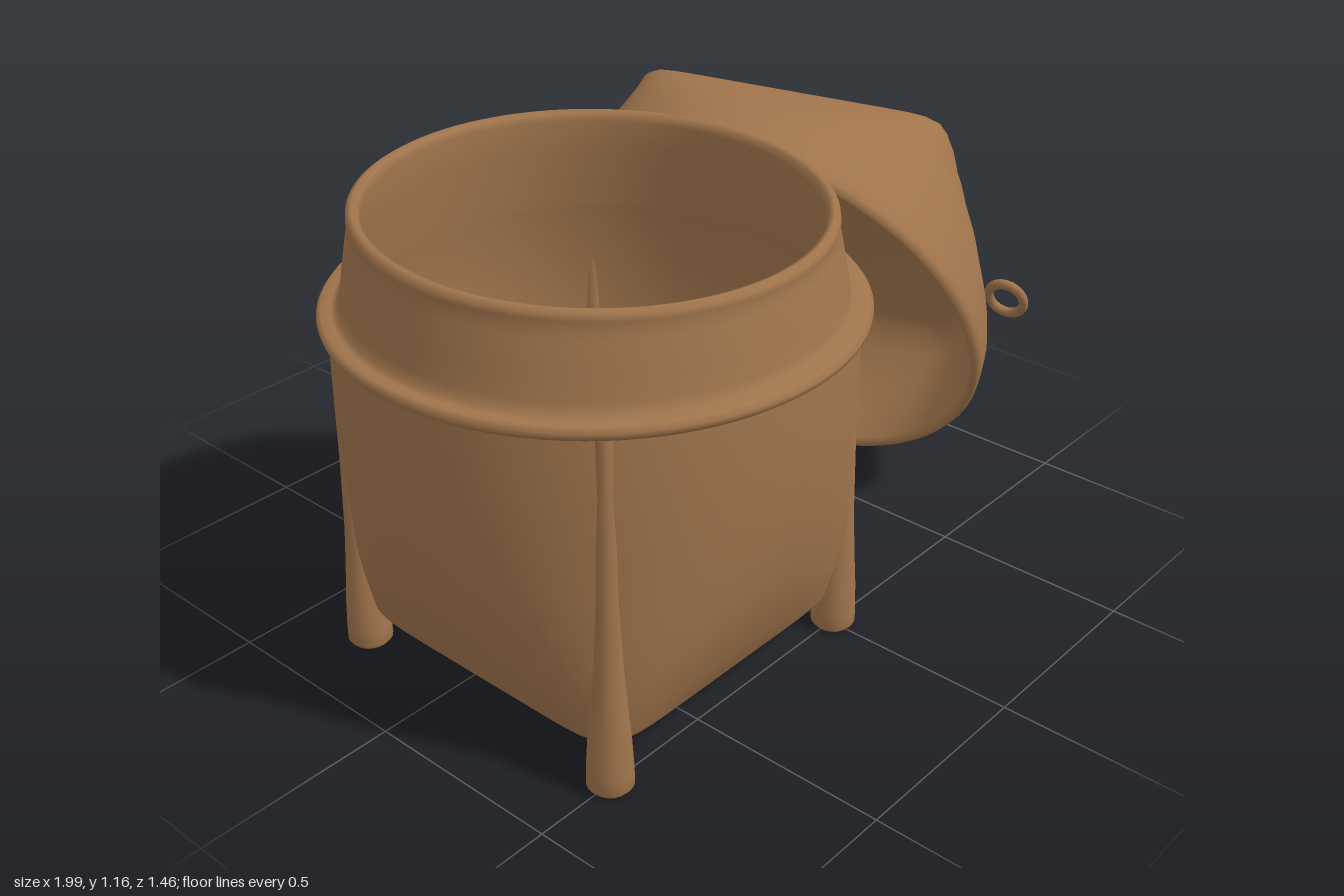
import * as THREE from 'three';

const SEGMENTS = 96;

// Lofts rings [height, half width, exponent]; exponent 2 is a circle, higher is squarer.
// Rings that rise face outward, rings that descend face inward.
function loft(rings, tilt = () => 0) {
  const positions = [];
  const index = [];
  rings.forEach(([y, a, p], i) => {
    for (let j = 0; j < SEGMENTS; j++) {
      const t = (j / SEGMENTS) * Math.PI * 2;
      const c = Math.cos(t), s = Math.sin(t);
      const r = a / Math.pow(Math.abs(c) ** p + Math.abs(s) ** p, 1 / p);
      positions.push(r * c, y + tilt(y, r * s), r * s);
      if (i < rings.length - 1) {
        const k = (j + 1) % SEGMENTS;
        const p0 = i * SEGMENTS + j, p1 = i * SEGMENTS + k;
        const q0 = p0 + SEGMENTS, q1 = p1 + SEGMENTS;
        index.push(p0, q0, p1, p1, q0, q1);
      }
    }
  });
  const geometry = new THREE.BufferGeometry();
  geometry.setAttribute('position', new THREE.Float32BufferAttribute(positions, 3));
  geometry.setIndex(index);
  geometry.computeVertexNormals();
  return geometry;
}

export function createModel() {
  const model = new THREE.Group();
  model.name = 'lidded basket';
  const wicker = new THREE.MeshStandardMaterial({ color: 0xa1754c });
  wicker.name = 'wicker brown';

  function add(parent, name, geometry) {
    const mesh = new THREE.Mesh(geometry, wicker);
    mesh.name = name;
    parent.add(mesh);
    return mesh;
  }

  const basket = new THREE.Group();
  basket.name = 'basket';
  basket.position.set(-0.395, 0, 0.105);
  model.add(basket);

  // Outer wall: square base rising to a round mouth
  add(basket, 'basketBody', loft([
    [0.05, 0, 2], [0.05, 0.15, 3], [0.057, 0.28, 5], [0.075, 0.37, 8],
    [0.09, 0.405, 9], [0.11, 0.42, 8], [0.2, 0.468, 4.2], [0.3, 0.508, 3.1],
    [0.4, 0.537, 2.55], [0.5, 0.558, 2.3], [0.6, 0.572, 2.12],
    [0.75, 0.585, 2.05], [0.9, 0.582, 2],
  ]));

  // Flange, neck and rolled lip, tilted slightly to the front
  const tilt = (y, z) => -0.03 * z * Math.min(1, Math.max(0, (y - 0.9) / 0.2));
  add(basket, 'basketCollar', loft([
    [0.885, 0.565, 2], [0.885, 0.595, 2], [0.895, 0.608, 2], [0.91, 0.612, 2],
    [0.922, 0.602, 2], [0.92, 0.58, 2], [0.925, 0.565, 2], [0.95, 0.558, 2],
    [1.0, 0.55, 2], [1.08, 0.535, 2], [1.105, 0.528, 2], [1.12, 0.532, 2],
    [1.135, 0.53, 2], [1.143, 0.518, 2], [1.138, 0.505, 2], [1.12, 0.5, 2],
    [1.05, 0.503, 2], [0.9, 0.525, 2],
  ], tilt));

  // Inner wall and floor
  add(basket, 'basketInside', loft([
    [0.9, 0.525, 2], [0.75, 0.55, 2.05], [0.6, 0.545, 2.12], [0.4, 0.51, 2.55],
    [0.25, 0.46, 3.6], [0.15, 0.415, 6], [0.11, 0.38, 8], [0.085, 0.28, 5],
    [0.075, 0.15, 3], [0.075, 0, 2],
  ]));

  // Corner posts ending in stubby feet, leaning slightly outward
  const postProfile = [
    [0, 0], [0.044, 0], [0.054, 0.012], [0.053, 0.05], [0.049, 0.12],
    [0.042, 0.2], [0.033, 0.32], [0.026, 0.5], [0.022, 0.7], [0.018, 0.89],
  ].map(([r, y]) => new THREE.Vector2(r, y));
  for (const sx of [-1, 1]) {
    for (const sz of [-1, 1]) {
      const post = new THREE.LatheGeometry(postProfile, 20);
      const pos = post.attributes.position;
      for (let i = 0; i < pos.count; i++) {
        const offset = 0.398 + 0.012 * pos.getY(i);
        pos.setX(i, pos.getX(i) + sx * offset);
        pos.setZ(i, pos.getZ(i) + sz * offset);
      }
      post.computeVertexNormals();
      add(basket, 'cornerPost', post);
    }
  }

  // Lid leaning on the basket, its open side facing down and inward
  const lid = new THREE.Group();
  lid.name = 'lid';
  const up = new THREE.Vector3(0.87, 0.44, -0.206).normalize();
  const across = new THREE.Vector3(0.23, 0, 0.97).addScaledVector(
    up, -up.dot(new THREE.Vector3(0.23, 0, 0.97))).normalize();
  const along = new THREE.Vector3().crossVectors(across, up);
  lid.quaternion.setFromRotationMatrix(new THREE.Matrix4().makeBasis(across, up, along));
  lid.position.set(0.39, 0.545, -0.055);
  model.add(lid);

  add(lid, 'lidShell', loft([
    [0.335, 0, 2], [0.335, 0.2, 4], [0.335, 0.38, 9], [0.32, 0.415, 8],
    [0.27, 0.47, 4.2], [0.18, 0.53, 2.6], [0.09, 0.565, 2.15], [0.01, 0.578, 2],
    [-0.005, 0.585, 2], [-0.005, 0.597, 2], [0.01, 0.605, 2], [0.03, 0.604, 2],
    [0.1, 0.59, 2.12], [0.18, 0.56, 2.45], [0.25, 0.522, 3.1], [0.31, 0.478, 4.8],
    [0.35, 0.447, 9], [0.365, 0.432, 13], [0.368, 0.415, 12], [0.362, 0.33, 6],
    [0.358, 0.18, 3], [0.357, 0, 2],
  ]));

  // Small cord loops on opposite sides of the lid
  for (const side of [-1, 1]) {
    const loop = add(lid, 'cordLoop', new THREE.TorusGeometry(0.046, 0.012, 12, 32));
    loop.rotation.x = Math.PI / 2;
    loop.scale.y = 1.2;
    loop.position.set(side * 0.612, 0.19, 0);
  }
  return model;
}
